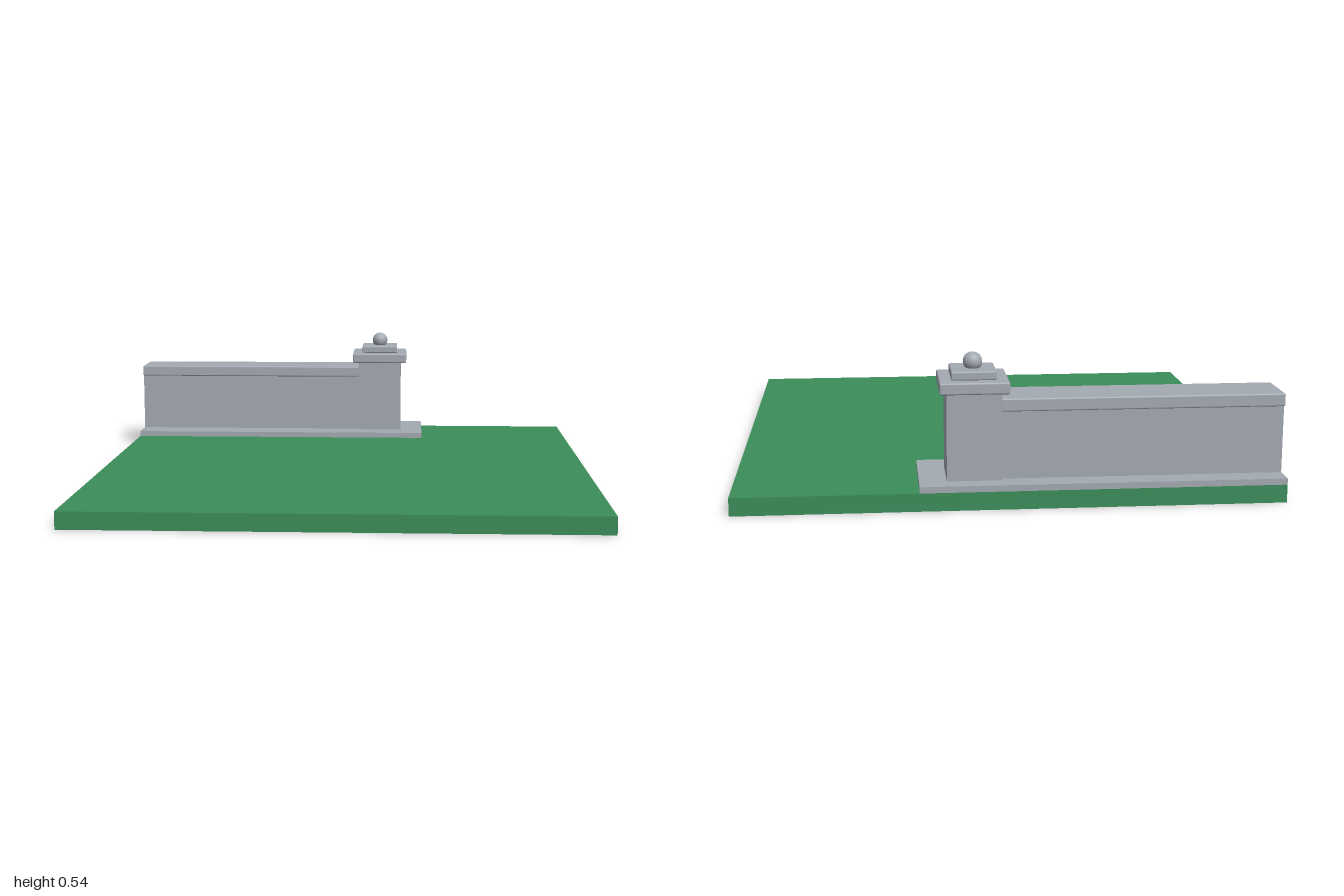
import * as THREE from 'three';
import { RoundedBoxGeometry } from 'three/addons/geometries/RoundedBoxGeometry.js';

export function createModel() {
  const model = new THREE.Group();
  model.name = 'gardenWallCorner';

  const stone = new THREE.MeshStandardMaterial({ color: 0xa4aab2 });
  stone.name = 'stone grey';
  const grass = new THREE.MeshStandardMaterial({ color: 0x3c8d5a });
  grass.name = 'grass green';

  // Block spanning the given extents, with optionally rounded edges
  function block(name, material, [x0, x1], [y0, y1], [z0, z1], radius = 0) {
    const size = [x1 - x0, y1 - y0, z1 - z0];
    const geometry = radius
      ? new RoundedBoxGeometry(...size, 2, radius)
      : new THREE.BoxGeometry(...size);
    const mesh = new THREE.Mesh(geometry, material);
    mesh.name = name;
    mesh.position.set((x0 + x1) / 2, (y0 + y1) / 2, (z0 + z1) / 2);
    model.add(mesh);
  }

  const centreX = 0.13, centreZ = -0.835;
  const around = (c, half) => [c - half, c + half];

  // Lawn slab
  block('lawn', grass, [-1, 1], [0, 0.067], [-1, 1]);

  // Paving under the wall and the post
  block('wallFooting', stone, [-1, centreX], [0.067, 0.09], [-1, -0.635]);
  block('postFooting', stone, [centreX, 0.33], [0.067, 0.09], [-1, -0.635]);

  // Wall with its slightly overhanging coping
  block('wall', stone, [-1, 0.035], [0.09, 0.345], around(centreZ, 0.08));
  block('wallCoping', stone, [-1, 0.035], [0.342, 0.39], around(centreZ, 0.099), 0.006);

  // Square end post with a stepped cap
  const tiers = [
    ['post', 0.1, 0.09, 0.412, 0],
    ['postCap', 0.126, 0.411, 0.455, 0.007],
    ['postCapStep', 0.082, 0.454, 0.487, 0.006],
  ];
  for (const [name, half, y0, y1, radius] of tiers) {
    block(name, stone, around(centreX, half), [y0, y1], around(centreZ, half), radius);
  }

  // Ball finial
  const ball = new THREE.Mesh(new THREE.SphereGeometry(0.035, 32, 20), stone);
  ball.name = 'ballFinial';
  ball.position.set(centreX, 0.509, centreZ);
  model.add(ball);

  return model;
}
